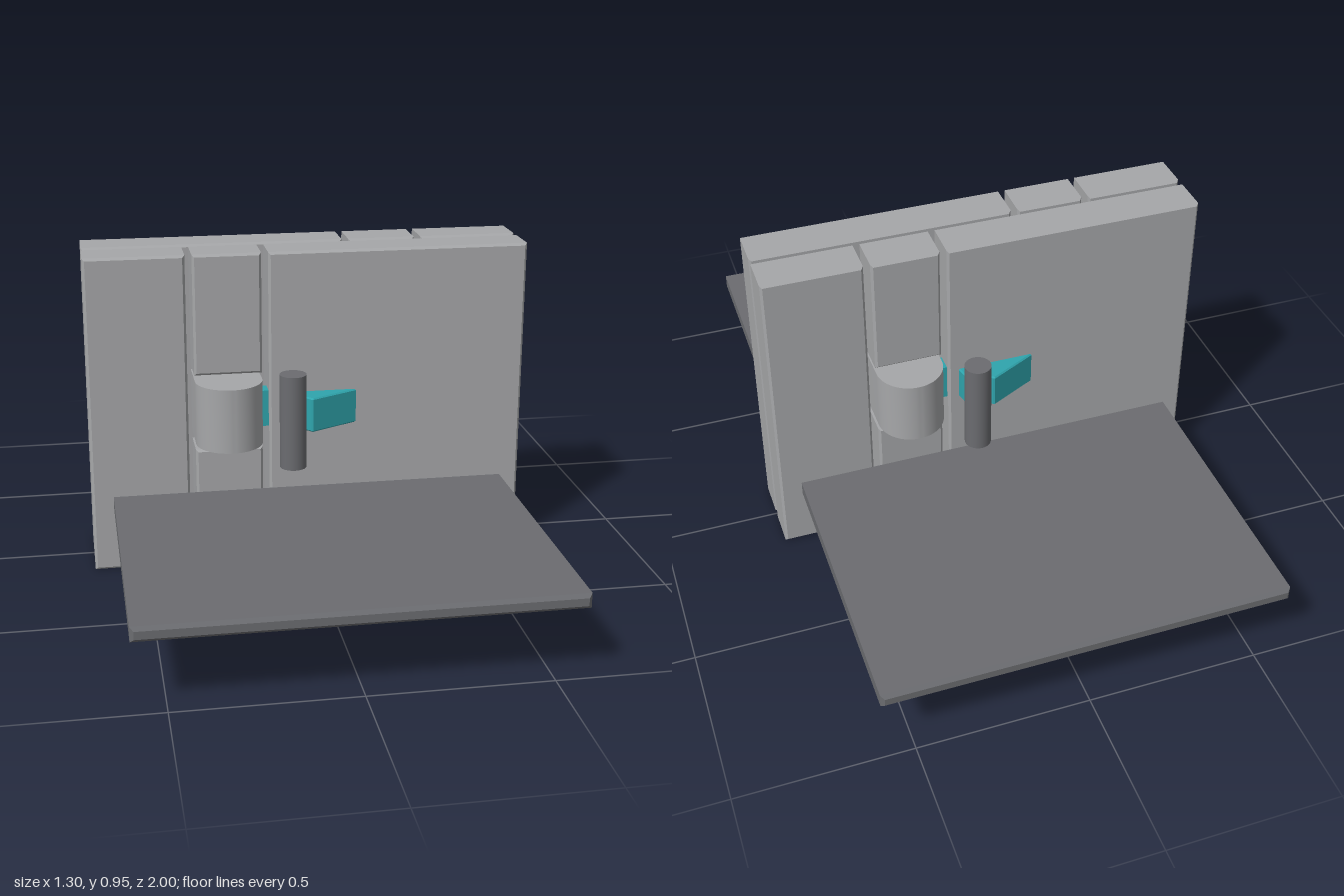
import * as THREE from 'three';
import { toCreasedNormals } from 'three/addons/utils/BufferGeometryUtils.js';

const mat = (name, color) => {
  const m = new THREE.MeshStandardMaterial({ color });
  m.name = name;
  return m;
};

// Box between two corners with chamfered edges
function chamferBox([x0, x1], [y0, y1], [z0, z1], b) {
  const s = new THREE.Shape();
  s.moveTo(x0 + b, y0 + b);
  s.lineTo(x1 - b, y0 + b);
  s.lineTo(x1 - b, y1 - b);
  s.lineTo(x0 + b, y1 - b);
  s.closePath();
  return new THREE.ExtrudeGeometry(s, {
    depth: z1 - z0 - 2 * b, bevelEnabled: true, bevelSize: b, bevelThickness: b, bevelSegments: 1,
  }).translate(0, 0, z0 + b);
}

// Plan outline drawn in (x, z), raised between two heights
function raisePlan(points, y0, y1, b = 0) {
  const s = new THREE.Shape(points.map(([x, z]) => new THREE.Vector2(x, -z)));
  const g = new THREE.ExtrudeGeometry(s, {
    depth: y1 - y0 - 2 * b, bevelEnabled: b > 0, bevelSize: b, bevelOffset: -b,
    bevelThickness: b, bevelSegments: 1,
  });
  g.rotateX(-Math.PI / 2).translate(0, y0 + b, 0);
  return toCreasedNormals(g, 0.5);
}

// Points along an arc in plan
function arc(cx, cz, r, a0, a1, n) {
  return Array.from({ length: n + 1 }, (_, i) => {
    const a = a0 + (a1 - a0) * i / n;
    return [cx + r * Math.cos(a), cz + r * Math.sin(a)];
  });
}

export function createModel() {
  const wall = mat('wall grey', 0xa6a7a9);
  const dark = mat('dark grey', 0x6b6c70);
  const teal = mat('teal', 0x2fa5ad);

  function half(name) {
    const g = new THREE.Group();
    g.name = name;
    const add = (part, geo, m) => {
      const mesh = new THREE.Mesh(geo, m);
      mesh.name = part;
      g.add(mesh);
    };
    const depth = [0.008, 0.13], height = [0, 0.955], strip = [-0.34, -0.14], b = 0.007;

    // Wall panels with a narrow strip, interrupted for the button
    add('narrowPanel', chamferBox([-0.65, -0.36], height, depth, b), wall);
    add('widePanel', chamferBox([-0.12, 0.65], height, depth, b), wall);
    add('upperStrip', chamferBox(strip, [0.595, 0.955], depth, b), wall);
    add('lowerStrip', chamferBox(strip, [0, 0.365], depth, b), wall);

    // Round-nosed button in the opening
    const nose = arc(-0.24, 0.13, 0.099, 0, Math.PI, 32);
    add('button', raisePlan([[-0.141, 0.002], ...nose, [-0.339, 0.002]], 0.385, 0.578), wall);

    // Wedge latch with a hollow that clears the handle
    const hollow = arc(-0.066, 0.24, 0.072, -0.58, -1.76, 10);
    add('latch', raisePlan([[0.14, 0.125], [0.14, 0.132], [0, 0.203], ...hollow,
      [-0.088, 0.13], [-0.088, 0.125]], 0.428, 0.532, 0.004), teal);
    add('latchBolt', new THREE.BoxGeometry(0.08, 0.11, 0.05).translate(-0.099, 0.48, 0.09), teal);

    // Upright round handle
    add('handle', new THREE.CylinderGeometry(0.039, 0.039, 0.282, 40).translate(-0.066, 0.481, 0.24), dark);

    // Flat tray
    add('tray', chamferBox([-0.588, 0.588], [0.196, 0.238], [0.135, 1], 0.01), dark);
    return g;
  }

  // Two identical halves, back to back
  const model = new THREE.Group();
  model.name = 'partition';
  const back = half('backHalf');
  back.rotation.y = Math.PI;
  model.add(half('frontHalf'), back);
  return model;
}
